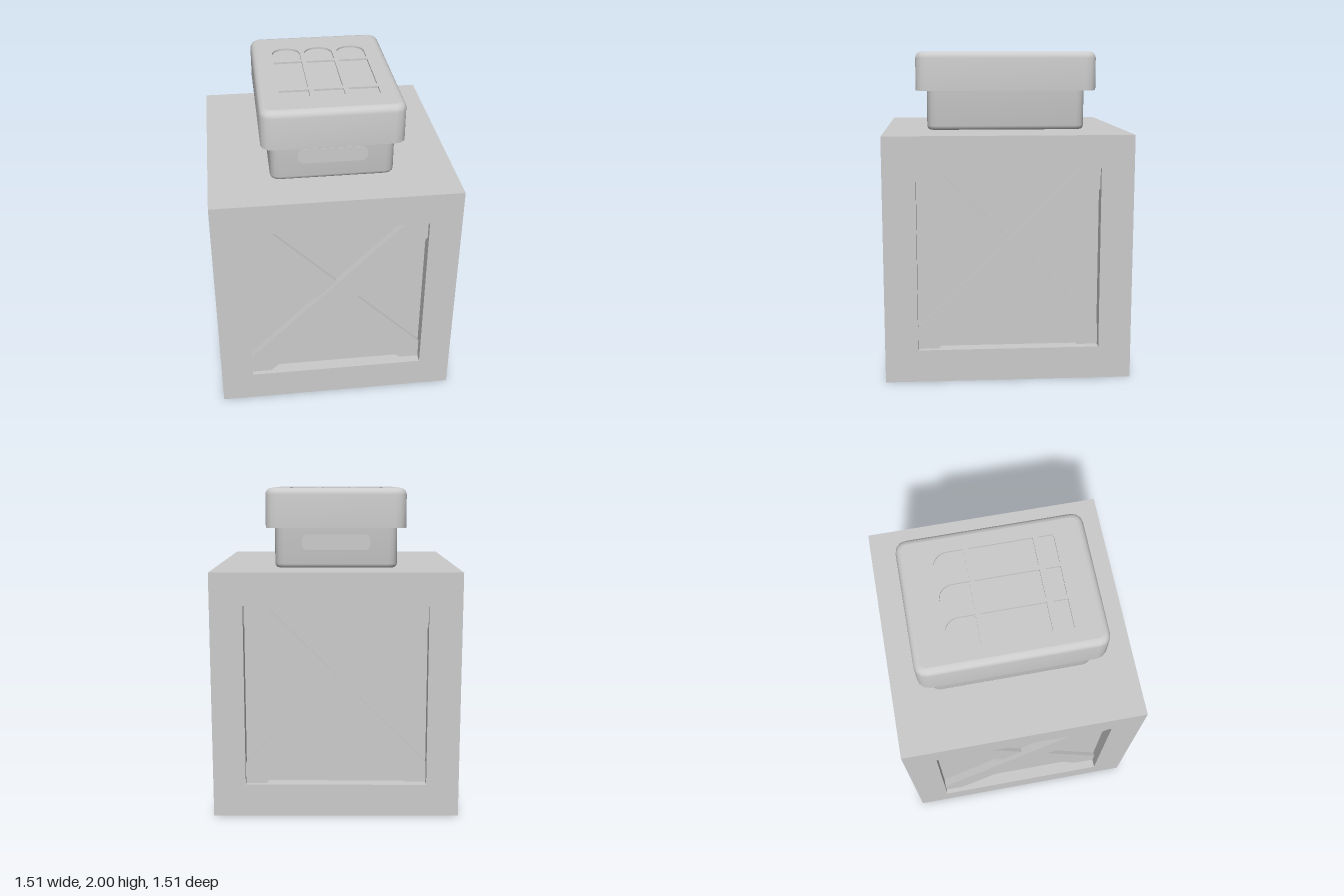
import * as THREE from 'three';
import { toCreasedNormals } from 'three/addons/utils/BufferGeometryUtils.js';

const mat = new THREE.MeshStandardMaterial({ color: 0xcccccc, side: THREE.DoubleSide });
const SIZE = 1.51, H = SIZE / 2, OPEN = 1.11, DEPTH = 0.08;

function add(parent, geometry, name) {
  const mesh = new THREE.Mesh(geometry, mat);
  mesh.name = name;
  parent.add(mesh);
  return mesh;
}

// Box with one face left out (0..5 = +x -x +y -y +z -z)
function openBox(w, h, d, face) {
  const g = new THREE.BoxGeometry(w, h, d);
  const index = Array.from(g.index.array);
  index.splice(face * 6, 6);
  g.setIndex(index);
  g.clearGroups();
  return g;
}

// Outline of a rounded rectangle, as [x, z] points
function roundedLoop(hx, hz, r, seg = 3) {
  const pts = [];
  [[1, 1], [-1, 1], [-1, -1], [1, -1]].forEach(([sx, sz], q) => {
    for (let i = 0; i <= seg; i++) {
      const a = (q + i / seg) * Math.PI / 2;
      pts.push([sx * (hx - r) + r * Math.cos(a), sz * (hz - r) + r * Math.sin(a)]);
    }
  });
  return pts;
}

// Skin over stacked rounded rectangles, each [halfX, halfZ, radius, y]
function loft(sections) {
  const pos = [], index = [];
  let n = 0;
  for (const [hx, hz, r, y] of sections) {
    const loop = roundedLoop(hx, hz, r);
    n = loop.length;
    loop.forEach(([x, z]) => pos.push(x, y, z));
  }
  for (let s = 0; s < sections.length - 1; s++) {
    for (let i = 0; i < n; i++) {
      const a = s * n + i, b = s * n + (i + 1) % n;
      index.push(a, a + n, b, b, a + n, b + n);
    }
  }
  const g = new THREE.BufferGeometry();
  g.setAttribute('position', new THREE.Float32BufferAttribute(pos, 3));
  g.setIndex(index);
  return toCreasedNormals(g, 0.8);
}

const loopShape = (...args) =>
  new THREE.Shape(roundedLoop(...args).map(([x, y]) => new THREE.Vector2(x, y)));

function rectPath(x0, y0, x1, y1) {
  return new THREE.Path([[x0, y0], [x1, y0], [x1, y1], [x0, y1]].map(p => new THREE.Vector2(...p)));
}

// One crate wall facing +z: frame, sunken panel and crossed braces
function crateWall() {
  const wall = new THREE.Group();
  wall.name = 'crateWall';
  const shape = new THREE.Shape(rectPath(-H, -H, H, H).getPoints());
  const o = OPEN / 2;
  shape.holes.push(rectPath(-o, -o, o, o));
  add(wall, new THREE.ShapeGeometry(shape), 'frame').position.z = H;
  add(wall, openBox(OPEN, OPEN, DEPTH, 4), 'sunkenPanel').position.z = H - DEPTH / 2;
  // Open-backed braces, one set behind the other
  [[1, 0.03, 'frontBrace'], [-1, 0.055, 'rearBrace']].forEach(([dir, front, name]) => {
    const back = 0.14;
    const brace = add(wall, openBox(1.8, 0.178, back - front, 5), name);
    brace.position.z = H - (front + back) / 2;
    brace.rotation.z = dir * Math.PI / 4;
  });
  return wall;
}

function crate() {
  const g = new THREE.Group();
  g.name = 'crate';
  for (let k = 0; k < 4; k++) {
    const wall = crateWall();
    wall.rotation.y = k * Math.PI / 2;
    g.add(wall);
  }
  const top = add(g, new THREE.PlaneGeometry(SIZE, SIZE), 'crateTop');
  top.rotation.x = -Math.PI / 2;
  top.position.y = H;
  g.position.y = H;
  return g;
}

function lid() {
  const g = new THREE.Group();
  g.name = 'lid';
  const hx = 0.43, hz = 0.567, r = 0.07, f = 0.04;
  // Inner wall, rim, outer wall, then the rounded top edge
  const sections = [
    [hx - 0.03, hz - 0.03, r - 0.02, 1.93],
    [hx - 0.03, hz - 0.03, r - 0.02, 1.76],
    [hx, hz, r, 1.76]
  ];
  for (let i = 0; i <= 4; i++) {
    const a = i / 4 * Math.PI / 2, inset = f * (1 - Math.cos(a));
    sections.push([hx - inset, hz - inset, r - inset, 2 - f + f * Math.sin(a)]);
  }
  add(g, loft(sections), 'lidShell');

  // Top plate with three columns of sunken windows, arched at the back
  const shape = loopShape(hx - f, hz - f, r - f);
  for (const x of [-0.21, 0, 0.21]) {
    const w = 0.09;
    const arch = new THREE.Path();
    arch.moveTo(x - w, 0.17);
    arch.lineTo(x + w, 0.17);
    arch.lineTo(x + w, 0.27);
    arch.absarc(x, 0.27, w, 0, Math.PI, false);
    arch.closePath();
    shape.holes.push(arch, rectPath(x - w, -0.245, x + w, 0.14), rectPath(x - w, -0.37, x + w, -0.28));
  }
  const depth = 0.012;
  const plate = add(g, new THREE.ExtrudeGeometry(shape, { depth, bevelEnabled: false, curveSegments: 10 }), 'lidTop');
  plate.rotation.x = -Math.PI / 2;
  plate.position.y = 2 - depth;
  const floor = add(g, new THREE.PlaneGeometry(0.66, 0.8), 'windowFloor');
  floor.rotation.x = -Math.PI / 2;
  floor.position.y = 2 - depth;
  return g;
}

function body() {
  const g = new THREE.Group();
  g.name = 'boxBody';
  const hx = 0.378, hz = 0.498, r = 0.055, f = 0.025, y0 = SIZE + 0.002;
  const sections = [];
  for (let i = 0; i <= 3; i++) {
    const a = i / 3 * Math.PI / 2, inset = f * (1 - Math.sin(a));
    sections.push([hx - inset, hz - inset, r - inset, y0 + f * (1 - Math.cos(a))]);
  }
  sections.push([hx, hz, r, 1.92]);
  add(g, loft(sections), 'bodyShell');
  const base = add(g, new THREE.ShapeGeometry(loopShape(hx - f, hz - f, r - f)), 'bodyBase');
  base.rotation.x = Math.PI / 2;
  base.position.y = y0;
  // Shallow grips on front and back
  const grip = new THREE.ExtrudeGeometry(loopShape(0.21, 0.048, 0.035, 5), { depth: 0.008, bevelEnabled: false });
  for (const side of [1, -1]) {
    const mesh = add(g, grip, side > 0 ? 'frontGrip' : 'backGrip');
    mesh.position.set(0, 1.67, side * (hz - 0.005));
    mesh.rotation.y = side > 0 ? 0 : Math.PI;
  }
  return g;
}

export function createModel() {
  const model = new THREE.Group();
  model.name = 'crateWithBox';
  const box = new THREE.Group();
  box.name = 'lunchBox';
  box.add(body(), lid());
  box.position.z = -0.01;
  model.add(crate(), box);
  return model;
}
